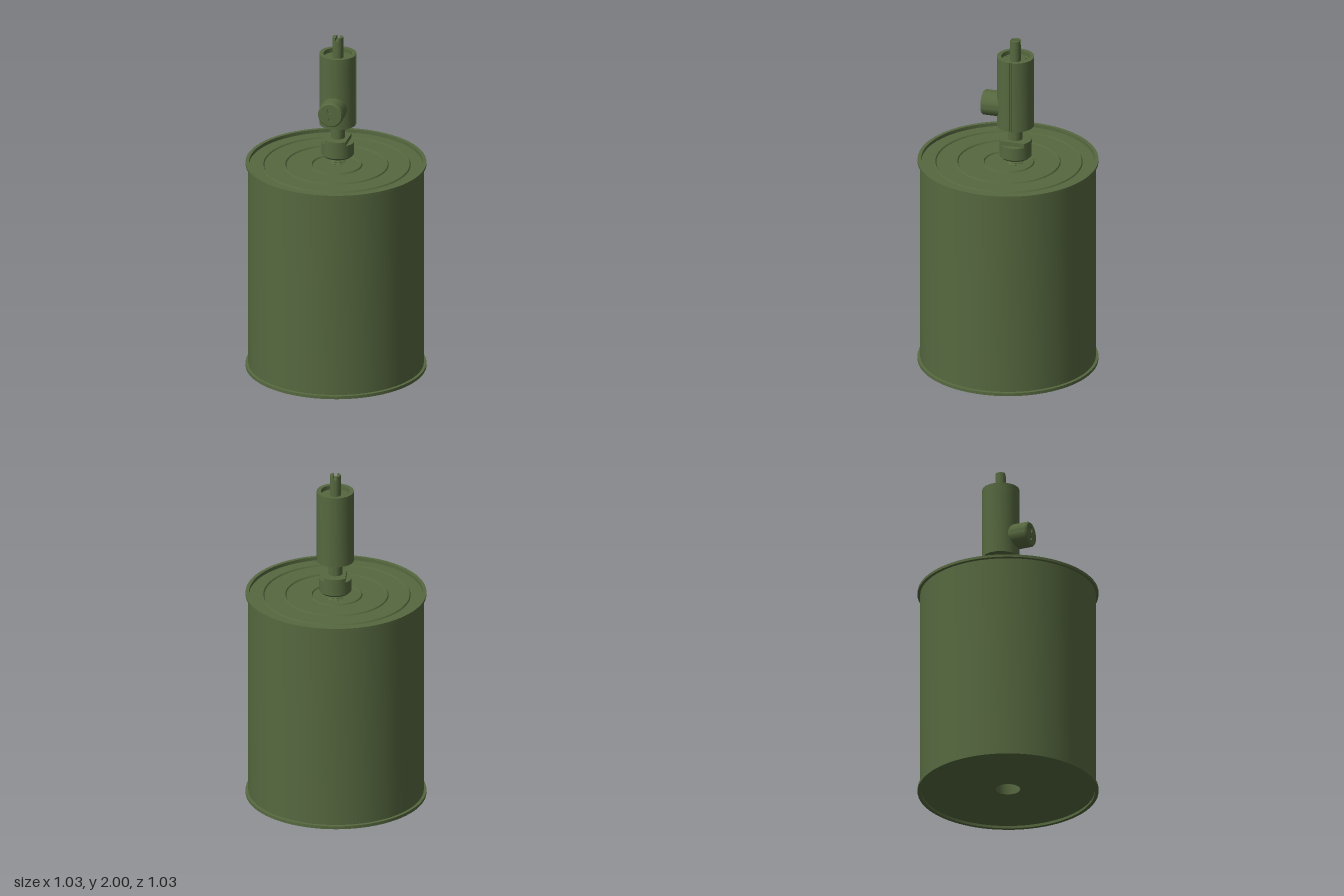
import * as THREE from 'three';
import { toCreasedNormals } from 'three/addons/utils/BufferGeometryUtils.js';

const material = new THREE.MeshStandardMaterial({ color: 0x56683f });

function add(parent, name, geometry, x = 0, y = 0, z = 0) {
  const mesh = new THREE.Mesh(toCreasedNormals(geometry, 0.5), material);
  mesh.name = name;
  mesh.position.set(x, y, z);
  parent.add(mesh);
  return mesh;
}

const lathe = (profile, segments = 48) =>
  new THREE.LatheGeometry(profile.map(([r, y]) => new THREE.Vector2(r, y)), segments);

// Extrude a plan shape straight up
const upright = (shape, height) =>
  new THREE.ExtrudeGeometry(shape, { depth: height, bevelEnabled: false, curveSegments: 24 }).rotateX(-Math.PI / 2);

const circle = (r, x = 0, y = 0) => new THREE.Path().absarc(x, y, r, 0, Math.PI * 2, true);

// Disc with a small vertical groove on its +x side
function groovedDisc(r) {
  const shape = new THREE.Shape();
  const a = 0.08;
  shape.absarc(0, 0, r, a, Math.PI * 2 - a, false);
  shape.absarc(r, 0, r * Math.sin(a), -Math.PI / 2, -Math.PI * 1.5, true);
  return shape;
}

// Disc segment to one side of a chord at distance d from the centre
function segment(r, d) {
  const a = Math.acos(d / r);
  return new THREE.Shape().absarc(0, 0, r, -a, a, false);
}

// Disc with two flats at x = -d and x = d
function flattedDisc(r, d) {
  const a = Math.acos(d / r);
  const shape = new THREE.Shape();
  shape.absarc(0, 0, r, a, Math.PI - a, false);
  shape.absarc(0, 0, r, Math.PI + a, Math.PI * 2 - a, false);
  return shape;
}

export function createModel() {
  const model = new THREE.Group();
  model.name = 'canister';

  // Can: recessed base with a well, seamed rims, lid with raised rings
  const lid = 1.23;
  const can = [
    [0, 0.1], [0.07, 0.1], [0.07, 0.015], [0.495, 0.015], [0.495, 0],
    [0.515, 0], [0.515, 0.018], [0.5, 0.02],
    [0.5, 1.232], [0.515, 1.235], [0.515, 1.25], [0.495, 1.25], [0.495, lid],
  ];
  for (const r of [0.425, 0.3, 0.15]) {
    can.push([r, lid], [r - 0.005, lid + 0.008], [r - 0.012, lid + 0.008], [r - 0.017, lid]);
  }
  can.push([0, lid]);
  add(model, 'can', lathe(can, 72));

  // Fuse assembly, set slightly behind the can's axis
  const fuse = new THREE.Group();
  fuse.name = 'fuse';
  fuse.position.z = -0.045;
  model.add(fuse);

  // Threaded stub
  const thread = [[0.035, 1.225]];
  for (let i = 0; i < 4; i++) {
    const y = 1.228 + i * 0.013;
    thread.push([0.035, y], [0.045, y + 0.006], [0.035, y + 0.012]);
  }
  add(fuse, 'threadedStub', lathe(thread, 32));

  // Collar with two spanner flats, then the neck
  add(fuse, 'collar', lathe([[0, 1.273], [0.08, 1.273], [0.092, 1.285], [0.092, 1.36], [0, 1.36]]));
  add(fuse, 'collarTop', upright(flattedDisc(0.092, 0.062), 0.025), 0, 1.36);
  add(fuse, 'neck', new THREE.CylinderGeometry(0.04, 0.04, 0.1, 32), 0, 1.425);

  // Body: solid barrel, drilled plate, open rim
  const r = 0.106;
  add(fuse, 'body', upright(groovedDisc(r), 0.385), 0, 1.47);
  const plate = groovedDisc(r);
  for (let i = 0; i < 3; i++) {
    const a = 0.08 + (i * Math.PI * 2) / 3;
    plate.holes.push(circle(0.006, 0.066 * Math.cos(a), 0.066 * Math.sin(a)));
  }
  add(fuse, 'drilledPlate', upright(plate, 0.02), 0, 1.855);
  const rim = groovedDisc(r);
  rim.holes.push(circle(0.082));
  add(fuse, 'bodyRim', upright(rim, 0.025), 0, 1.875);

  // Slotted rod
  add(fuse, 'rod', new THREE.CylinderGeometry(0.031, 0.031, 0.11, 32), 0, 1.925);
  for (const side of [0, Math.PI]) {
    add(fuse, 'rodTip', upright(segment(0.031, 0.01), 0.02), 0, 1.98).rotation.y = side;
  }

  // Side plug facing forward, with a bevelled cap and two pits
  const port = new THREE.Group();
  port.name = 'sidePlug';
  port.position.y = 1.59;
  fuse.add(port);
  const barrel = lathe([[0, 0], [0.073, 0], [0.073, 0.18], [0, 0.18]]).rotateX(Math.PI / 2);
  add(port, 'plugBarrel', barrel);
  const face = new THREE.Shape().absarc(0, 0, 0.066, 0, Math.PI * 2, false);
  face.holes.push(circle(0.018, 0, 0.028), circle(0.012, 0, -0.025));
  add(port, 'plugFace', new THREE.ExtrudeGeometry(face, { depth: 0.01, bevelEnabled: false, curveSegments: 24 }), 0, 0, 0.18);
  const bevel = lathe([[0.073, 0.18], [0.066, 0.19]]).rotateX(Math.PI / 2);
  add(port, 'plugBevel', bevel);

  return model;
}
